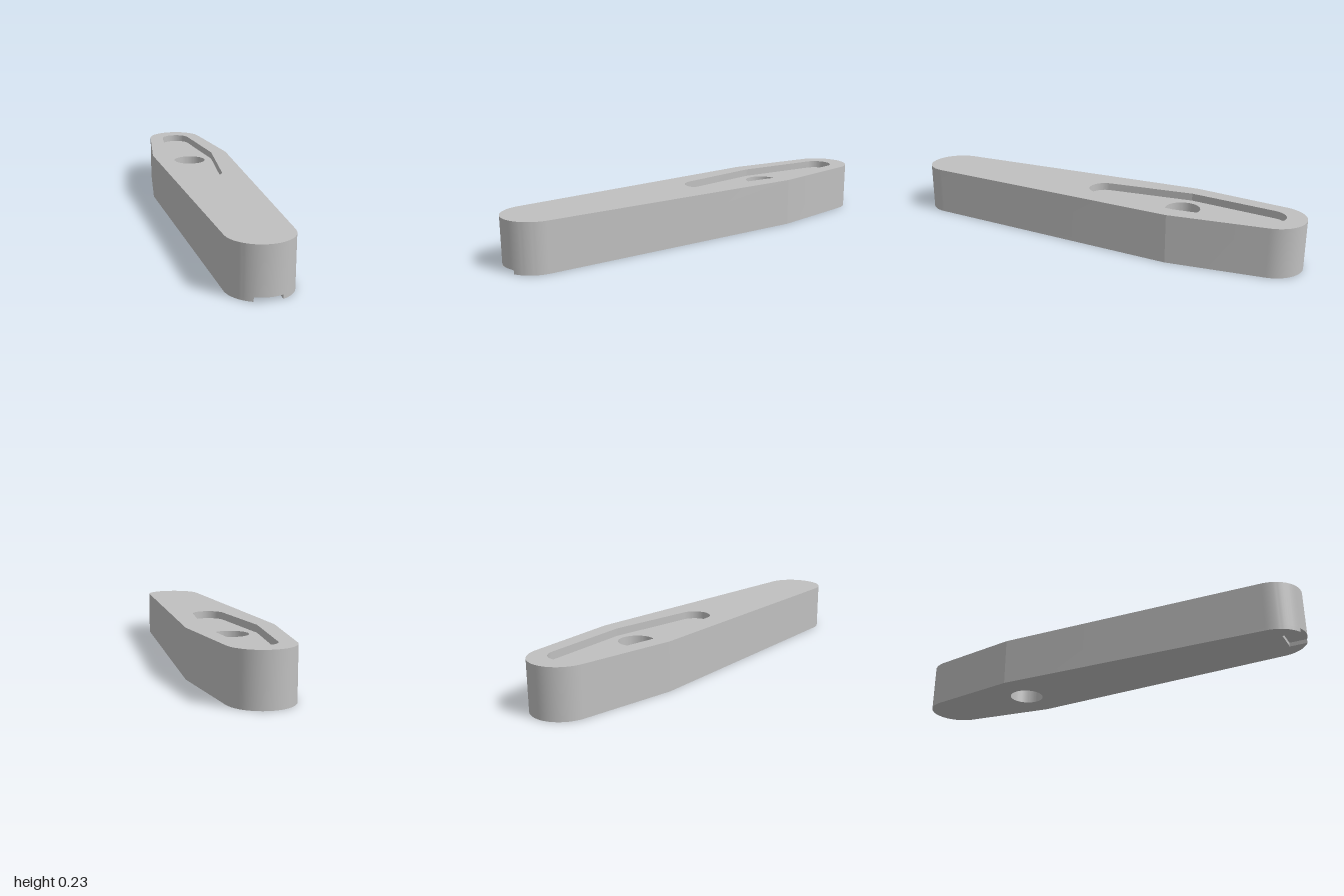
import * as THREE from 'three';
import { mergeGeometries, toCreasedNormals } from 'three/addons/utils/BufferGeometryUtils.js';

const HEIGHT = 0.228, FLOOR = 0.193;                     // top face, recess floor
const NOTCH = { half: 0.058, height: 0.018, back: 0.91 };
const WIDEST = 0.43;                                     // distance of the widest section behind the centre

// Plan points are (x, -z), counter-clockwise seen from above.
function arc(cy, r, from, to, steps) {
  return Array.from({ length: steps + 1 }, (_, i) => {
    const a = from + (to - from) * i / steps;
    return new THREE.Vector2(r * Math.cos(a), cy + r * Math.sin(a));
  });
}

// Angle at which the straight side from a widest corner touches an end arc
const tangent = (halfWidth, run, r) =>
  Math.acos(r / Math.hypot(halfWidth, run)) - Math.atan2(run, halfWidth);

// Kite-like outline with round ends: two widest corners joined by two arcs
function taperedOutline(halfWidth, r, backY, frontY, frontSplit = 0) {
  const tb = tangent(halfWidth, backY - WIDEST, r);
  const tf = tangent(halfWidth, WIDEST - frontY, r);
  const mid = 1.5 * Math.PI;
  return [
    new THREE.Vector2(halfWidth, WIDEST),
    ...arc(backY, r, tb, Math.PI - tb, 36),
    new THREE.Vector2(-halfWidth, WIDEST),
    ...arc(frontY, r, Math.PI + tf, mid - frontSplit, 16),
    ...arc(frontY, r, mid - frontSplit, mid + frontSplit, 10).slice(1, -1),
    ...arc(frontY, r, mid + frontSplit, 2 * Math.PI - tf, 16),
  ];
}

// Flat face at height y, optionally with a hole, facing up or down
function cap(points, y, hole, down = false) {
  const shape = new THREE.Shape(points);
  if (hole) shape.holes.push(new THREE.Path(hole));
  const g = new THREE.ShapeGeometry(shape).rotateX(-Math.PI / 2).translate(0, y, 0);
  if (down) g.setIndex(Array.from(g.index.array).reverse());
  return g.toNonIndexed();
}

// Vertical wall along a closed outline, facing outward or inward
function wall(points, y0, y1, inward = false) {
  const pos = [], uv = [];
  points.forEach((p, i) => {
    let a = p, b = points[(i + 1) % points.length];
    if (a.distanceTo(b) < 1e-6) return;
    if (inward) [a, b] = [b, a];
    pos.push(a.x, y0, -a.y, b.x, y0, -b.y, b.x, y1, -b.y,
      a.x, y0, -a.y, b.x, y1, -b.y, a.x, y1, -a.y);
    uv.push(0, 0, 1, 0, 1, 1, 0, 0, 1, 1, 0, 1);
  });
  const g = new THREE.BufferGeometry();
  g.setAttribute('position', new THREE.Float32BufferAttribute(pos, 3));
  g.setAttribute('uv', new THREE.Float32BufferAttribute(uv, 2));
  g.computeVertexNormals();
  return g;
}

export function createModel() {
  const grey = new THREE.MeshStandardMaterial({ color: 0xc0c0c0 });
  grey.name = 'light grey';
  const group = new THREE.Group();
  group.name = 'taperedArm';

  const add = (name, ...parts) => {
    const g = mergeGeometries(parts);
    g.computeVertexNormals();
    const mesh = new THREE.Mesh(toCreasedNormals(g, 0.15), grey);
    mesh.name = name;
    group.add(mesh);
  };

  const R = 0.143, END = 1 - R;
  const body = taperedOutline(0.2, R, END, -END, Math.asin(NOTCH.half / R));
  const recess = taperedOutline(0.12, 0.075, 0.835, 0.025);
  const bore = arc(WIDEST, 0.081, 0, 2 * Math.PI, 64).slice(0, -1);

  // Front tip of the outline, and the foot outline with the notch cut out of it
  const inTip = p => p.y < -END && Math.abs(p.x) < NOTCH.half + 1e-4;
  const tip = body.filter(inTip);
  const first = body.findIndex(inTip);
  const notchBack = [-1, 1].map(s => new THREE.Vector2(s * NOTCH.half, -NOTCH.back));
  const foot = [
    ...body.slice(0, first), tip[0], ...notchBack, tip[tip.length - 1],
    ...body.slice(first + tip.length),
  ];

  // Outer shell
  add('body',
    wall(foot, 0, NOTCH.height),
    wall(body, NOTCH.height, HEIGHT),
    cap(foot, 0, bore, true),
    cap(body, HEIGHT, recess));
  // Roof of the notch under the front tip
  add('notchRoof', cap([...tip, notchBack[1], notchBack[0]], NOTCH.height, null, true));
  // Shallow pocket in the top
  add('recess', wall(recess, FLOOR, HEIGHT, true), cap(recess, FLOOR, bore));
  // Through hole
  add('bore', wall(bore, 0, FLOOR, true));

  return group;
}
